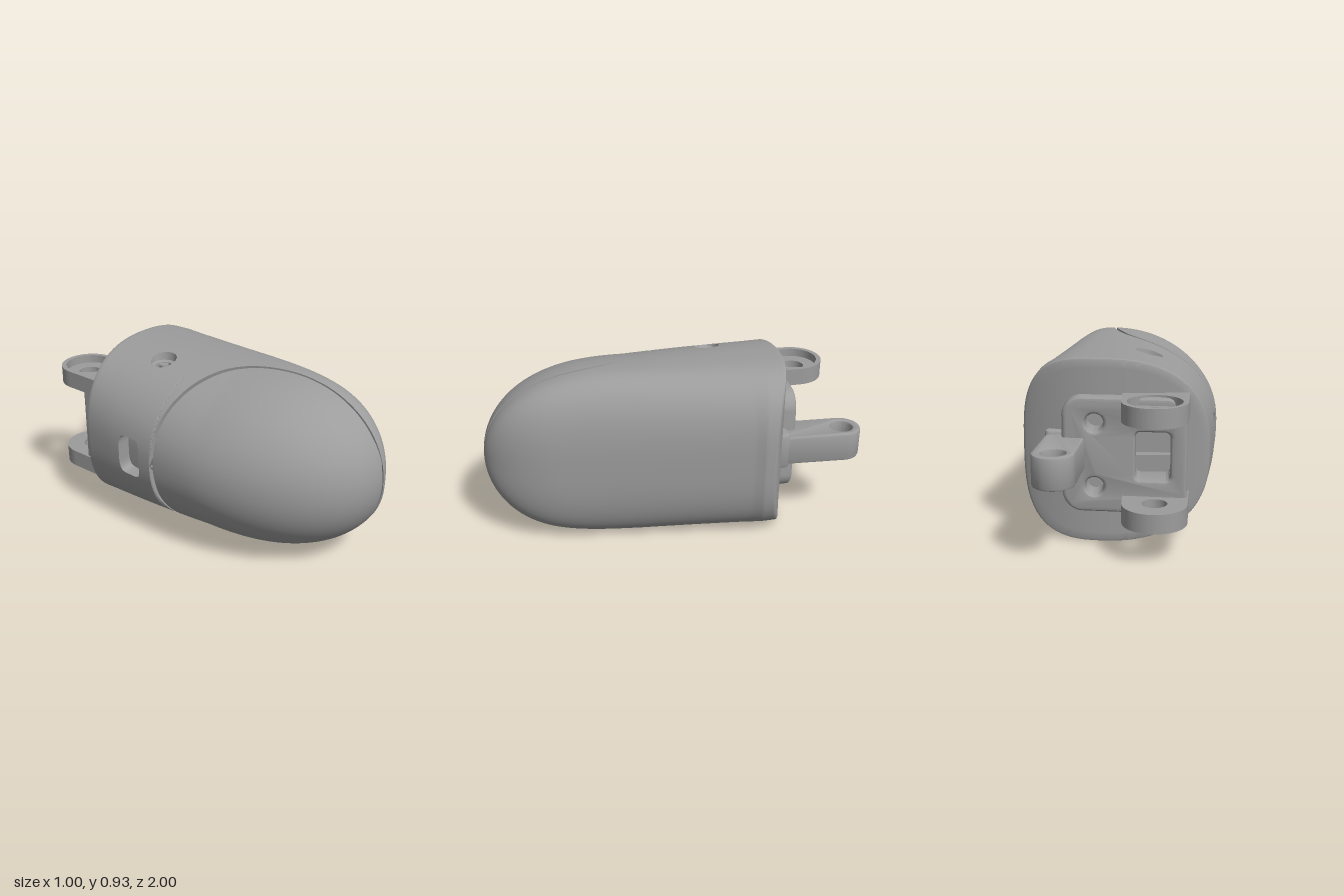
import * as THREE from 'three';
import { toCreasedNormals } from 'three/addons/utils/BufferGeometryUtils.js';

const CY = 0.47, COLS = 160;
const clamp = THREE.MathUtils.clamp, lerp = THREE.MathUtils.lerp;
const round = (v, p) => Math.sqrt(Math.max(0, 1 - Math.pow(clamp(v, 0, 1), p)));

// Seam between pad and shell: x as a function of z
const seamCurve = new THREE.CubicInterpolant(
  [-0.055, -0.02, 0.02, 0.06, 0.12, 0.2, 0.3, 0.45, 0.6, 0.8, 1],
  [-0.51, -0.4, -0.285, -0.19, -0.085, -0.005, 0.045, 0.08, 0.086, 0.073, 0.055], 1);
const seam = z => (z <= -0.055 ? -1 : seamCurve.evaluate(Math.min(z, 1))[0]);

// Cross-section at station s: a superellipse with different left and right halves
function section(s) {
  const min = s > 0.2 ? 0.05 - 0.555 * round((s - 0.2) / 0.8, 2)
    : -0.505 + 0.065 * Math.pow((0.2 - s) / 0.76, 1.5);
  const max = 0.05 + (0.37 - 0.17 * Math.max(s, -0.47)) * round((s - 0.6) / 0.4, 2.5);
  const h = 0.467 * round((s - 0.2) / 0.8, 3);
  const k = clamp((s + 0.6) / 0.8, 0, 1);
  const cx = lerp(min, max, lerp(0.58, 0.7, k));
  return { cx, h, left: cx - min, right: max - cx, pl: lerp(2.5, 2.05, k), pr: lerp(3.1, 2.7, k) };
}

// Point on the skin; the rear end bends forward towards both sides
function skin(theta, s, scale = 1, midX = null) {
  const q = section(s), c = Math.cos(theta), n = Math.sin(theta);
  const p = c < 0 ? q.pl : q.pr, a = c < 0 ? q.left : q.right;
  const m = midX === null ? q.cx : midX;
  const x = m + (q.cx + a * Math.sign(c) * Math.pow(Math.abs(c), 2 / p) - m) * scale;
  const y = CY + q.h * Math.sign(n) * Math.pow(Math.abs(n), 2 / p) * scale;
  const bend = x > 0 ? 0.13 * Math.pow(x / 0.5, 2.5) : 0.04 * Math.pow(x / 0.44, 2);
  return [x, y, s + clamp((-0.36 - s) / 0.24, 0, 1) * bend];
}

// Angle at which the section crosses a given x
function angleAt(x, s) {
  const q = section(s), d = x - q.cx;
  const a = Math.max(1e-5, d < 0 ? q.left : q.right);
  return Math.acos(Math.sign(d) * Math.pow(Math.min(1, Math.abs(d) / a), (d < 0 ? q.pl : q.pr) / 2));
}

function skinY(x, z, side) {
  const q = section(z), d = x - q.cx;
  const p = d < 0 ? q.pl : q.pr, a = d < 0 ? q.left : q.right;
  return CY + side * q.h * Math.pow(Math.max(0, 1 - Math.pow(Math.abs(d) / a, p)), 1 / p);
}

function skinX(y, z) {
  const q = section(z);
  return q.cx - q.left * Math.pow(1 - Math.pow(Math.abs(y - CY) / q.h, q.pl), 1 / q.pl);
}

// Openings in the shell: local coordinates, outline power, and pocket profile [scale, depth]
const boltProfile = [[1, 0], [0.92, 0.05], [0.6, 0.055], [0.6, 0.12], [0.36, 0.12], [0.36, 0.05], [0, 0.05]];
const openings = [1, -1].map(side => ({
  name: side > 0 ? 'upperPivotPocket' : 'lowerPivotPocket', power: 2, profile: boltProfile,
  here: p => (p[1] - CY) * side > 0.2,
  local: p => [(p[0] + 0.13) / 0.07, (p[2] + 0.25) / 0.07],
  world: (u, v, d) => {
    const x = -0.13 + 0.07 * u, z = -0.25 + 0.07 * v;
    return [x, (d < 0.045 ? skinY(x, z, side) : CY + side * 0.46) - side * d, z];
  },
}));
openings.push({
  name: 'sideWindow', power: 5, profile: [[1, 0], [1, 0.08], [0, 0.08]],
  here: p => p[0] < -0.2,
  local: p => [(p[1] - CY) / 0.11, (p[2] + 0.22) / 0.075],
  world: (u, v, d) => [skinX(CY + 0.11 * u, -0.22 + 0.075 * v) + d, CY + 0.11 * u, -0.22 + 0.075 * v],
});

// Skin a list of point rows, leaving out faces that lie wholly in an opening
function loft(rows, cut = []) {
  const pos = [], inside = [], index = [], w = rows[0].length;
  rows.flat().forEach(point => {
    const p = [...point];
    let hit = 0;
    cut.forEach((o, i) => {
      if (!o.here(p)) return;
      const [u, v] = o.local(p);
      const n = Math.pow(Math.abs(u) ** o.power + Math.abs(v) ** o.power, 1 / o.power);
      if (n >= 1) return;
      hit = i + 1;
      const m = Math.max(n, 1e-4), e = o.world(u / m, v / m, 0);
      p.splice(0, 3, ...e);
    });
    inside.push(hit);
    pos.push(...p);
  });
  const face = (...t) => { if (!t.every(i => inside[i])) index.push(...t); };
  for (let i = 0; i + 1 < rows.length; i++) {
    for (let j = 0; j + 1 < w; j++) {
      const a = i * w + j, d = a + w;
      face(a, a + 1, d + 1);
      face(a, d + 1, d);
    }
  }
  const g = new THREE.BufferGeometry();
  g.setAttribute('position', new THREE.Float32BufferAttribute(pos, 3));
  g.setIndex(index);
  return toCreasedNormals(g, 0.6);
}

// One row of skin between two angles, with a groove wall turned in at each end
function arc(from, to, s, walled) {
  const row = [];
  for (let j = 0; j <= COLS; j++) row.push(skin(lerp(from, to, j / COLS), s));
  const depth = walled ? 0.93 : 1;
  return [skin(from, s, depth), ...row, skin(to, s, depth)];
}

// Flat outline in x and -z, raised along y
function slab(shape, y, height, bevel = 0) {
  const g = new THREE.ExtrudeGeometry(shape, {
    depth: height - 2 * bevel, bevelEnabled: bevel > 0, bevelSize: bevel, bevelOffset: -bevel,
    bevelThickness: bevel, bevelSegments: 2, curveSegments: 32,
  });
  return toCreasedNormals(g.rotateX(-Math.PI / 2).translate(0, y + bevel, 0), 0.5);
}

function lugShape(cx, cz, r, x0, x1, base, hole) {
  const s = new THREE.Shape();
  s.moveTo(x0, base).lineTo(x1, base).lineTo(cx + r, cz);
  s.absarc(cx, cz, r, 0, Math.PI, false).lineTo(x0, base);
  s.holes.push(new THREE.Path().absarc(cx, cz, hole, 0, Math.PI * 2, true));
  return s;
}

function roundedRect(path, x0, y0, x1, y1, r) {
  path.absarc(x1 - r, y1 - r, r, 0, Math.PI / 2).absarc(x0 + r, y1 - r, r, Math.PI / 2, Math.PI);
  path.absarc(x0 + r, y0 + r, r, Math.PI, Math.PI * 1.5).absarc(x1 - r, y0 + r, r, Math.PI * 1.5, Math.PI * 2);
  return path.closePath();
}

export function createModel() {
  const group = new THREE.Group();
  const grey = new THREE.MeshStandardMaterial({ color: 0x9c9c9c, side: THREE.DoubleSide });
  grey.name = 'grey';
  const add = (name, geometry) => {
    const m = new THREE.Mesh(geometry, grey);
    m.name = name;
    group.add(m);
    return m;
  };

  // Stations: even along the body, closer at the seam start and the tip
  const stations = [];
  for (let z = -0.585; z < -0.1; z += 0.0145) stations.push(z);
  for (let z = -0.09; z < 0.1; z += 0.006) stations.push(z);
  for (let i = 0; i <= 60; i++) stations.push(0.1 + 0.9 * Math.sin(i / 60 * Math.PI / 2));

  // Shell with its rear face
  const shell = [[0.55, -0.6], [0.75, -0.6], [0.9, -0.6], [0.975, -0.6], [0.993, -0.596]].map(([k, s]) => {
    const row = [];
    for (let j = 0; j <= COLS; j++) row.push(skin(lerp(-Math.PI, Math.PI, j / COLS), s, k, -0.02));
    return [row[0], ...row, row[COLS]];
  });
  stations.forEach(s => {
    const t = angleAt(seam(s + 0.01) + 0.007, s);
    shell.push(arc(-t, t, s, t < Math.PI - 0.01));
  });
  add('shell', loft(shell, openings));

  // Fingertip pad and the groove floor behind the seam
  add('fingertipPad', loft(stations.filter(s => s > -0.06).map(s => {
    const t = angleAt(seam(s - 0.01) - 0.007, s);
    return arc(t, 2 * Math.PI - t, s, true);
  })));
  add('grooveFloor', loft(stations.filter(s => s > -0.13).map(s => {
    const row = [];
    for (let j = 0; j <= 64; j++) {
      const p = skin(j / 64 * Math.PI * 2, s, 0.955);
      row.push([p[0], p[1], p[2] * 0.98]);
    }
    return row;
  })));

  // Pockets in the shell openings
  openings.forEach(o => add(o.name, loft(o.profile.map(([k, d]) => {
    const row = [];
    for (let j = 0; j <= 48; j++) {
      const c = Math.cos(j / 24 * Math.PI), n = Math.sin(j / 24 * Math.PI);
      const m = k / Math.pow(Math.abs(c) ** o.power + Math.abs(n) ** o.power, 1 / o.power);
      row.push(o.world(c * m, n * m, d));
    }
    return row;
  }))));

  // Rear mounting plate with screw holes and a square opening, slanted across x
  const plate = roundedRect(new THREE.Shape(), -0.32, 0.18, 0.29, 0.76, 0.1);
  [0.31, 0.63].forEach(y => plate.holes.push(new THREE.Path().absarc(0.13, y, 0.045, 0, Math.PI * 2, true)));
  plate.holes.push(roundedRect(new THREE.Path(), -0.24, 0.35, -0.07, 0.59, 0.025));
  const plateGeo = new THREE.ExtrudeGeometry(plate, {
    depth: 0.14, bevelSize: 0.02, bevelOffset: -0.02, bevelThickness: 0.02, bevelSegments: 3, curveSegments: 16,
  }).translate(0, 0, -0.645);
  const pp = plateGeo.attributes.position;
  for (let i = 0; i < pp.count; i++) pp.setZ(i, pp.getZ(i) + 0.08 * pp.getX(i));
  add('mountingPlate', toCreasedNormals(plateGeo, 0.5));
  add('plateFloor', new THREE.BoxGeometry(0.56, 0.5, 0.02).translate(-0.015, CY, -0.51));
  add('openingCrossbar', new THREE.BoxGeometry(0.17, 0.05, 0.05).translate(-0.155, 0.43, -0.56));

  // Paired hinge lugs with counterbores on their outer faces
  const lug = hole => lugShape(-0.165, 0.775, 0.158, -0.335, -0.005, 0.56, hole);
  [[0.675, 0.725, 'upper'], [0.22, 0.175, 'lower']].forEach(([inner, outer, name]) => {
    add(name + 'LugWeb', slab(lug(0.062), inner, 0.05));
    add(name + 'LugRim', slab(lug(0.132), outer, 0.045));
  });

  // Single lever tab with its base collar
  add('leverTab', slab(lugShape(0.3, 0.897, 0.103, 0.165, 0.365, 0.48, 0.06), 0.395, 0.16, 0.012));
  const collar = roundedRect(new THREE.Shape(), 0.145, 0.48, 0.38, 0.59, 0.03);
  add('leverCollar', slab(collar, 0.375, 0.2, 0.02));

  return group;
}
